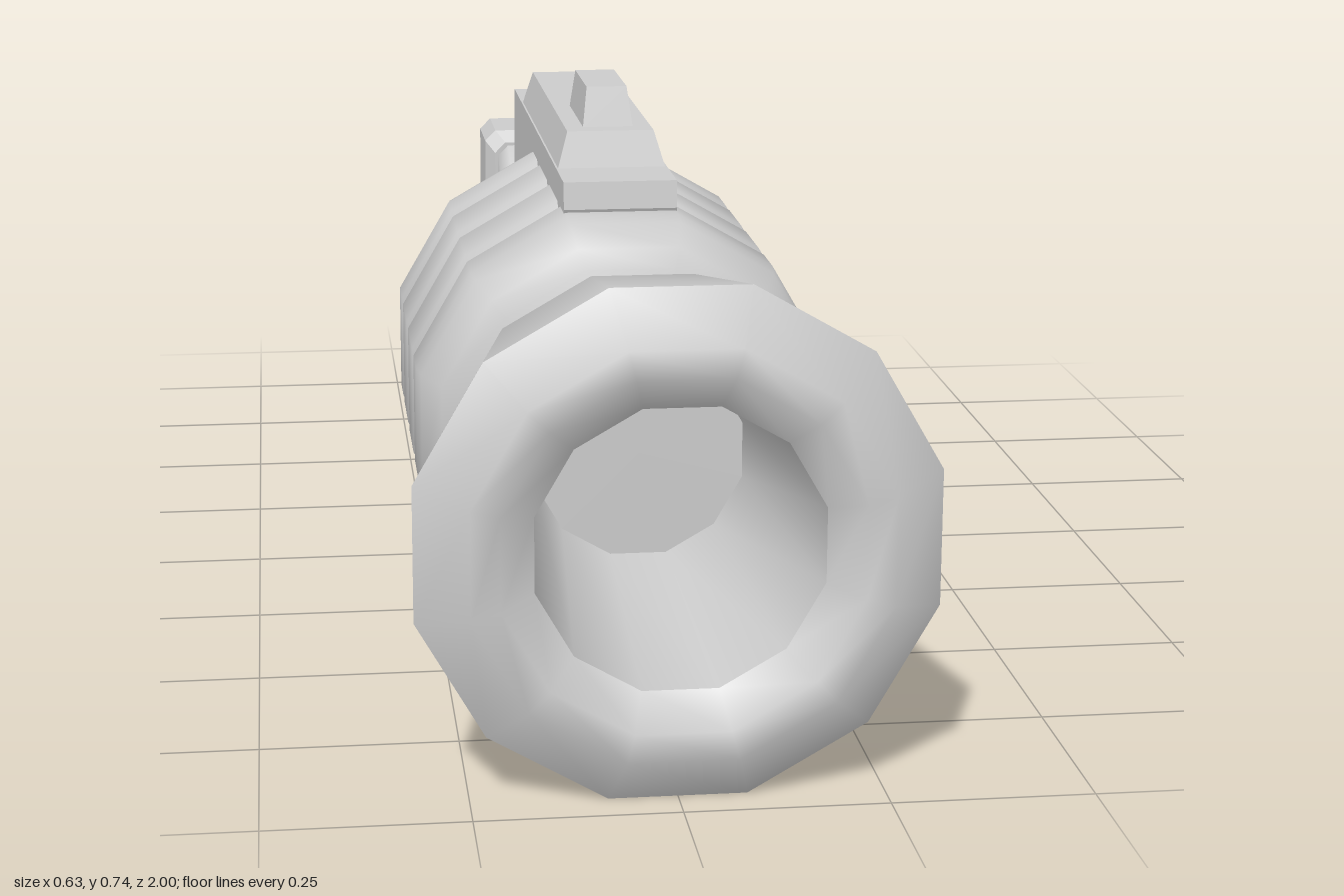
import * as THREE from 'three';
import { toCreasedNormals } from 'three/addons/utils/BufferGeometryUtils.js';

const AXIS_Y = 0.316;
const SIDES = 12;
const material = new THREE.MeshStandardMaterial({ color: 0xcccccc });

function part(name, geometry, crease = 0.6) {
  const mesh = new THREE.Mesh(toCreasedNormals(geometry, crease), material);
  mesh.name = name;
  return mesh;
}

// Twelve-sided turned part along z; profile is [z, distance to flat side], back to front
function turned(name, profile, crease) {
  const k = 1 / Math.cos(Math.PI / SIDES);
  const points = profile.map(([z, r]) => new THREE.Vector2(r * k, z));
  const geometry = new THREE.LatheGeometry(points, SIDES, Math.PI / SIDES);
  geometry.rotateX(Math.PI / 2).translate(0, AXIS_Y, 0);
  return part(name, geometry, crease);
}

// Side outline in [z, y], given a width in x
function plate(name, outline, width, crease = 0.5) {
  const shape = new THREE.Shape(outline.map(([z, y]) => new THREE.Vector2(z, y)));
  const geometry = new THREE.ExtrudeGeometry(shape, { depth: width, bevelEnabled: false });
  geometry.translate(0, 0, -width / 2).rotateY(-Math.PI / 2);
  return part(name, geometry, crease);
}

// Box whose top is inset from its base
function taperedBlock(name, y0, y1, zBack, zFront, halfWidth, insetX, insetZ) {
  const geometry = new THREE.BoxGeometry(halfWidth * 2, y1 - y0, zFront - zBack);
  const p = geometry.attributes.position;
  for (let i = 0; i < p.count; i++) {
    if (p.getY(i) > 0) {
      p.setX(i, p.getX(i) - Math.sign(p.getX(i)) * insetX);
      p.setZ(i, p.getZ(i) - Math.sign(p.getZ(i)) * insetZ);
    }
  }
  geometry.translate(0, (y0 + y1) / 2, (zBack + zFront) / 2);
  return part(name, geometry, 0.3);
}

// Skin over chamfered rectangles [z, yTop, yBottom, halfWidth], listed front to back
function loft(name, sections, chamfer, crease) {
  const positions = [], index = [], n = 8;
  for (const [z, t, b, w] of sections) {
    const c = chamfer;
    const ring = [[w, b + c], [w, t - c], [w - c, t], [c - w, t],
      [-w, t - c], [-w, b + c], [c - w, b], [w - c, b]];
    for (const [x, y] of ring) positions.push(x, y, z);
  }
  for (let i = 0; i < sections.length - 1; i++) {
    for (let j = 0; j < n; j++) {
      const a = i * n + j, b = i * n + (j + 1) % n;
      index.push(a, a + n, b, b, a + n, b + n);
    }
  }
  const last = (sections.length - 1) * n;
  for (let j = 1; j < n - 1; j++) {
    index.push(0, j, j + 1, last, last + j + 1, last + j);
  }
  const geometry = new THREE.BufferGeometry();
  geometry.setAttribute('position', new THREE.Float32BufferAttribute(positions, 3));
  geometry.setIndex(index);
  return part(name, geometry, crease);
}

export function createModel() {
  const model = new THREE.Group();
  model.name = 'blaster';

  // Core tube showing as the neck in front and the collar behind
  model.add(turned('coreTube', [[-0.24, 0], [-0.24, 0.2], [0.55, 0.2], [0.55, 0]]));

  // Body of four bulging rings with rounded ends
  const rings = [[-0.18, 0], [-0.18, 0.225], [-0.165, 0.25], [-0.13, 0.275], [-0.1, 0.28]];
  for (const z of [-0.015, 0.135, 0.29]) {
    rings.push([z - 0.02, 0.28], [z, 0.268], [z + 0.02, 0.28]);
  }
  rings.push([0.38, 0.28], [0.41, 0.275], [0.452, 0.25], [0.468, 0.225], [0.468, 0]);
  model.add(turned('ringedBody', rings, 0.75));

  // Flared muzzle with rolled lip and hollow bore
  model.add(turned('muzzle', [
    [0.545, 0], [0.545, 0.205], [0.59, 0.245], [0.95, 0.314], [1, 0.25], [1, 0.215],
    [0.965, 0.173], [0.56, 0.137], [0.56, 0],
  ], 0.74));

  // Stepped top rail and sight
  model.add(plate('railBase', [
    [0.36, 0.6], [0.355, 0.637], [-0.43, 0.637], [-0.452, 0.48], [-0.2, 0.48],
    [-0.15, 0.55], [0.34, 0.56],
  ], 0.154));
  model.add(taperedBlock('railStep', 0.635, 0.686, -0.305, 0.255, 0.075, 0.015, 0.015));
  model.add(taperedBlock('sight', 0.684, 0.74, 0.025, 0.208, 0.035, 0.007, 0.016));
  model.add(plate('hammer', [
    [-0.42, 0.575], [-0.445, 0.57], [-0.492, 0.55], [-0.505, 0.455], [-0.42, 0.455],
  ], 0.09));

  // Curved stock, wide at the grip and slim behind it
  model.add(loft('stock', [
    [-0.235, 0.515, 0.31, 0.108], [-0.26, 0.52, 0.3, 0.115], [-0.34, 0.518, 0.282, 0.115],
    [-0.4, 0.515, 0.26, 0.114], [-0.45, 0.485, 0.225, 0.104], [-0.5, 0.44, 0.178, 0.09],
    [-0.56, 0.345, 0.128, 0.077], [-0.6, 0.302, 0.106, 0.074], [-0.63, 0.292, 0.097, 0.073],
    [-0.67, 0.31, 0.09, 0.073], [-0.72, 0.375, 0.09, 0.073], [-0.79, 0.445, 0.096, 0.073],
    [-0.86, 0.478, 0.104, 0.073],
  ], 0.018, 0.85));
  model.add(loft('buttPad', [
    [-0.843, 0.475, 0.115, 0.078], [-0.86, 0.494, 0.1, 0.094],
    [-0.985, 0.494, 0.1, 0.094], [-1, 0.478, 0.115, 0.078],
  ], 0.018, 0.4));

  // Trigger and its guard
  model.add(plate('trigger', [
    [-0.295, 0.3], [-0.35, 0.3], [-0.358, 0.22], [-0.34, 0.165], [-0.318, 0.138],
    [-0.3, 0.148], [-0.318, 0.19], [-0.325, 0.235],
  ], 0.04));
  model.add(plate('triggerGuard', [
    [-0.21, 0.13], [-0.23, 0.09], [-0.28, 0.065], [-0.335, 0.055], [-0.4, 0.072],
    [-0.44, 0.1], [-0.485, 0.17], [-0.47, 0.2], [-0.44, 0.18], [-0.42, 0.14],
    [-0.385, 0.108], [-0.335, 0.09], [-0.285, 0.1], [-0.25, 0.125], [-0.235, 0.16],
    [-0.21, 0.16],
  ], 0.07));

  return model;
}
